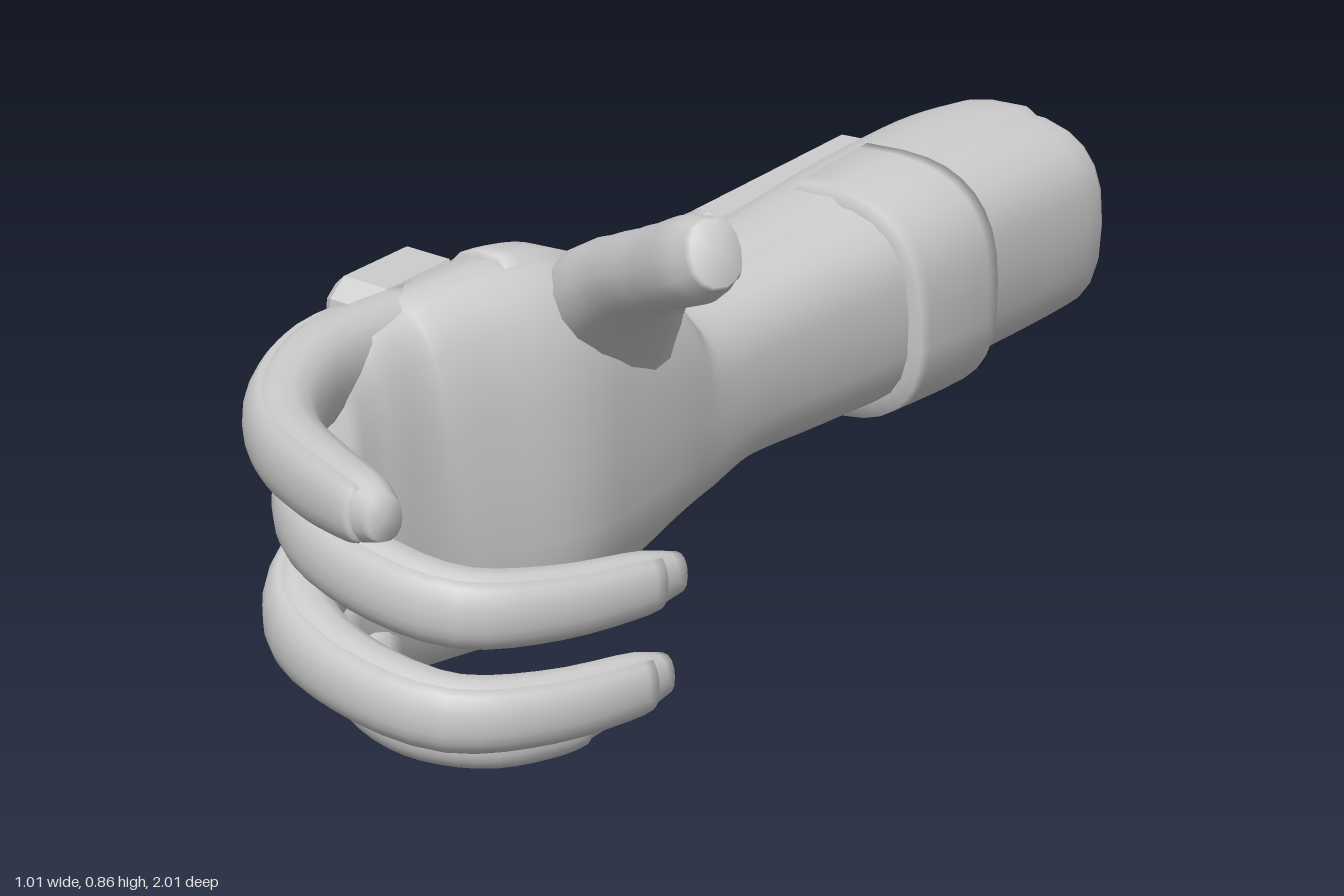
import * as THREE from 'three';

const grey = new THREE.MeshStandardMaterial({ color: 0xcccccc });
const greyThin = new THREE.MeshStandardMaterial({ color: 0xcccccc, side: THREE.DoubleSide });
const UP = new THREE.Vector3(0, 1, 0);

function add(parent, name, geometry, x = 0, y = 0, z = 0, material = grey) {
  const mesh = new THREE.Mesh(geometry, material);
  mesh.name = name;
  mesh.position.set(x, y, z);
  parent.add(mesh);
  return mesh;
}

// Sweeps a rounded section along rows of [x, y, z, halfWidth, halfHeight].
// With an arc (degrees, 0 = back of the hand) it makes a raised panel over that body.
function limb(rows, { steps = 24, sides = 14, power = 1, from = 0, to = 1, arc = null, lift = 0 } = {}) {
  const path = new THREE.CatmullRomCurve3(rows.map(r => new THREE.Vector3(r[0], r[1], r[2])));
  const size = new THREE.CatmullRomCurve3(rows.map(r => new THREE.Vector3(r[3], r[4], 0)));
  const soft = v => Math.sign(v) * Math.pow(Math.abs(v), power);
  const [a0, a1] = (arc || [0, 360]).map(THREE.MathUtils.degToRad);
  const cols = arc ? sides + 1 : sides;
  const pos = [], idx = [];
  for (let i = 0; i <= steps; i++) {
    // Panels double their end rings so that the rim turns down into the body.
    const k = arc ? THREE.MathUtils.clamp((i - 1) / (steps - 2), 0, 1) : i / steps;
    const u = from + (to - from) * k;
    const c = path.getPoint(u), s = size.getPoint(u), t = path.getTangent(u);
    const side = t.clone().cross(UP).normalize();
    const up = side.clone().cross(t);
    for (let j = 0; j < cols; j++) {
      const rim = arc && (i === 0 || i === steps || j === 0 || j === cols - 1);
      const o = rim ? -0.01 : lift;
      const a = a0 + (a1 - a0) * j / sides;
      const p = c.clone()
        .addScaledVector(side, soft(Math.cos(a)) * (s.x + o))
        .addScaledVector(up, soft(Math.sin(a)) * (s.y + o));
      pos.push(p.x, p.y, p.z);
    }
  }
  for (let i = 0; i < steps; i++) {
    for (let j = 0; j < sides; j++) {
      const n = arc ? j + 1 : (j + 1) % sides;
      const a = i * cols + j, b = i * cols + n, c = a + cols, d = b + cols;
      idx.push(a, c, b, b, c, d);
    }
  }
  if (!arc) {
    const first = path.getPoint(0), last = path.getPoint(1), m = pos.length / 3, e = steps * cols;
    pos.push(first.x, first.y, first.z, last.x, last.y, last.z);
    for (let j = 0; j < sides; j++) {
      const n = (j + 1) % sides;
      idx.push(m, j, n, m + 1, e + n, e + j);
    }
  }
  const g = new THREE.BufferGeometry();
  g.setAttribute('position', new THREE.Float32BufferAttribute(pos, 3));
  g.setIndex(idx);
  g.computeVertexNormals();
  return g;
}

// Bevelled slab: outline in (along the arm, height), thickness pointing away from the arm.
function slab(outline, depth, bevel) {
  const shape = new THREE.Shape(outline.map(p => new THREE.Vector2(...p)));
  return new THREE.ExtrudeGeometry(shape, {
    depth: depth - bevel, bevelEnabled: true, bevelSize: bevel, bevelThickness: bevel,
    bevelOffset: -bevel, bevelSegments: 1,
  });
}

// Group whose local x runs along the arm and local z points outward.
function sideMount(parent, name, x, z, turn) {
  const g = new THREE.Group();
  g.name = name;
  g.position.set(x, 0, z);
  g.rotation.y = turn - Math.PI / 2;
  parent.add(g);
  return g;
}

export function createModel() {
  const model = new THREE.Group();

  // Forearm and palm
  const arm = [
    [-0.252, 0.40, -0.98, 0.13, 0.125], [-0.245, 0.40, -0.945, 0.17, 0.165],
    [-0.23, 0.398, -0.8, 0.178, 0.172], [-0.185, 0.393, -0.55, 0.172, 0.168],
    [-0.15, 0.38, -0.3, 0.15, 0.155], [-0.115, 0.372, -0.1, 0.135, 0.143],
    [-0.09, 0.36, 0.03, 0.135, 0.16], [-0.065, 0.375, 0.12, 0.135, 0.205],
    [-0.05, 0.385, 0.22, 0.14, 0.248], [-0.037, 0.393, 0.32, 0.138, 0.278],
    [-0.04, 0.39, 0.42, 0.115, 0.278], [-0.045, 0.38, 0.52, 0.092, 0.268],
    [-0.03, 0.385, 0.62, 0.075, 0.25], [0.0, 0.39, 0.7, 0.045, 0.2],
  ];
  add(model, 'forearmAndPalm', limb(arm, { steps: 52, sides: 24, power: 0.75 }));
  add(model, 'outerSleevePanel', limb(arm, {
    steps: 44, sides: 18, power: 0.75, from: 0.06, to: 0.72, arc: [-112, 106], lift: 0.009,
  }), 0, 0, 0, greyThin);
  add(model, 'armStrap', limb(arm, {
    steps: 10, sides: 20, power: 0.75, from: 0.213, to: 0.267, arc: [72, 285], lift: 0.023,
  }), 0, 0, 0, greyThin);

  // Fingers, curled towards the palm side
  const fingers = {
    indexFinger: [
      [-0.075, 0.59, 0.46, 0.055, 0.065], [-0.04, 0.59, 0.66, 0.056, 0.067],
      [0.04, 0.585, 0.79, 0.053, 0.063], [0.14, 0.586, 0.868, 0.047, 0.056],
      [0.28, 0.595, 0.928, 0.044, 0.053], [0.4, 0.603, 0.963, 0.038, 0.046],
      [0.453, 0.605, 0.976, 0.024, 0.03]],
    middleFinger: [
      [-0.075, 0.468, 0.48, 0.06, 0.066], [-0.035, 0.453, 0.66, 0.056, 0.067],
      [0.06, 0.432, 0.765, 0.049, 0.062], [0.2, 0.41, 0.795, 0.045, 0.055],
      [0.35, 0.395, 0.765, 0.045, 0.052], [0.408, 0.387, 0.66, 0.04, 0.048],
      [0.434, 0.384, 0.53, 0.034, 0.042], [0.44, 0.382, 0.465, 0.02, 0.028]],
    ringFinger: [
      [-0.075, 0.325, 0.48, 0.06, 0.065], [-0.035, 0.31, 0.67, 0.056, 0.066],
      [0.06, 0.292, 0.79, 0.049, 0.061], [0.2, 0.274, 0.825, 0.045, 0.053],
      [0.36, 0.26, 0.795, 0.045, 0.05], [0.425, 0.255, 0.69, 0.04, 0.047],
      [0.452, 0.255, 0.56, 0.033, 0.042], [0.457, 0.255, 0.505, 0.02, 0.028]],
    littleFinger: [
      [-0.07, 0.193, 0.45, 0.057, 0.061], [-0.035, 0.183, 0.59, 0.051, 0.056],
      [0.06, 0.165, 0.675, 0.046, 0.05], [0.18, 0.155, 0.695, 0.042, 0.045],
      [0.262, 0.146, 0.645, 0.041, 0.04], [0.296, 0.143, 0.55, 0.038, 0.037],
      [0.306, 0.143, 0.48, 0.024, 0.024]],
  };
  for (const [name, rows] of Object.entries(fingers)) {
    add(model, name, limb(rows, { power: 0.9 }));
    add(model, name + 'BackPanel', limb(rows, { power: 0.9, from: 0.1, to: 0.9, sides: 10, arc: [-70, 70], lift: 0.004 }),
      0, 0, 0, greyThin);
  }

  // Thumb, spread up and to the palm side, with a broad base
  const thumb = [
    [-0.05, 0.48, 0.13, 0.09, 0.09], [0.045, 0.595, 0.21, 0.102, 0.085],
    [0.175, 0.683, 0.29, 0.075, 0.062], [0.31, 0.747, 0.36, 0.06, 0.058],
    [0.42, 0.798, 0.412, 0.052, 0.06], [0.48, 0.826, 0.435, 0.035, 0.045]];
  add(model, 'thumb', limb(thumb, { power: 0.9 }));
  add(model, 'thumbBackPanel', limb(thumb, { power: 0.9, from: 0.3, to: 0.92, sides: 10, arc: [85, 225], lift: 0.004 }),
    0, 0, 0, greyThin);

  // Control box on the outer side of the forearm
  const box = sideMount(model, 'controlBox', -0.353, -0.475, 0.21);
  add(box, 'boxCase', slab([[-0.33, 0.2], [-0.21, 0.1], [0.24, 0.09], [0.33, 0.19], [0.33, 0.49], [-0.33, 0.505]], 0.066, 0.014));
  const face = 0.066;
  const disc = (name, x, y, r, h) => {
    add(box, name, new THREE.CylinderGeometry(r * 0.85, r, h, 14), x, y, face + h / 2).rotation.x = Math.PI / 2;
  };
  for (const [x, y] of [[-0.23, 0.215], [-0.21, 0.168]])
    for (let i = 0; i < 6; i++) add(box, 'key', new THREE.BoxGeometry(0.042, 0.025, 0.02), x + i * 0.066, y, face + 0.008);
  disc('roundKey', 0.22, 0.215, 0.014, 0.016);
  for (const [x, y] of [[-0.2, 0.445], [0.09, 0.44], [-0.29, 0.38]]) {
    disc('knob', x, y, 0.036, 0.022);
  }
  add(box, 'toggleLever', new THREE.BoxGeometry(0.16, 0.016, 0.02), -0.05, 0.45, face + 0.01);
  add(box, 'dialArc', new THREE.TorusGeometry(0.075, 0.012, 6, 14, 2), 0.13, 0.38, face + 0.004).rotation.z = -1;

  // Plate leaning in over the back of the hand, with a round stud on its front end
  const plate = sideMount(model, 'handPlate', -0.172, 0.4, 0.24);
  add(plate, 'plateCase', slab([[-0.14, 0.24], [-0.1, 0.17], [0.13, 0.17], [0.15, 0.25], [0.13, 0.62],
    [0.1, 0.645], [-0.05, 0.645], [-0.085, 0.61]], 0.09, 0.018), 0, 0, 0.012).rotation.x = -0.08;
  add(plate, 'plateStud', new THREE.SphereGeometry(0.036, 16, 10), 0.137, 0.24, 0.055).scale.x = 0.8;

  // Cable looping from the box to the plate, with a plug at each end
  const cable = new THREE.CatmullRomCurve3([
    [-0.327, 0.14, -0.2], [-0.322, 0.065, -0.135], [-0.302, 0.016, -0.05],
    [-0.278, 0.05, 0.05], [-0.262, 0.13, 0.12], [-0.235, 0.2, 0.27],
  ].map(p => new THREE.Vector3(...p)));
  add(model, 'cable', new THREE.TubeGeometry(cable, 32, 0.014, 8));
  for (const u of [0.04, 0.95]) {
    const p = cable.getPointAt(u);
    const plug = add(model, 'cablePlug', new THREE.CylinderGeometry(0.028, 0.028, 0.05, 12), p.x, p.y, p.z);
    plug.quaternion.setFromUnitVectors(UP, cable.getTangentAt(u));
  }
  return model;
}
